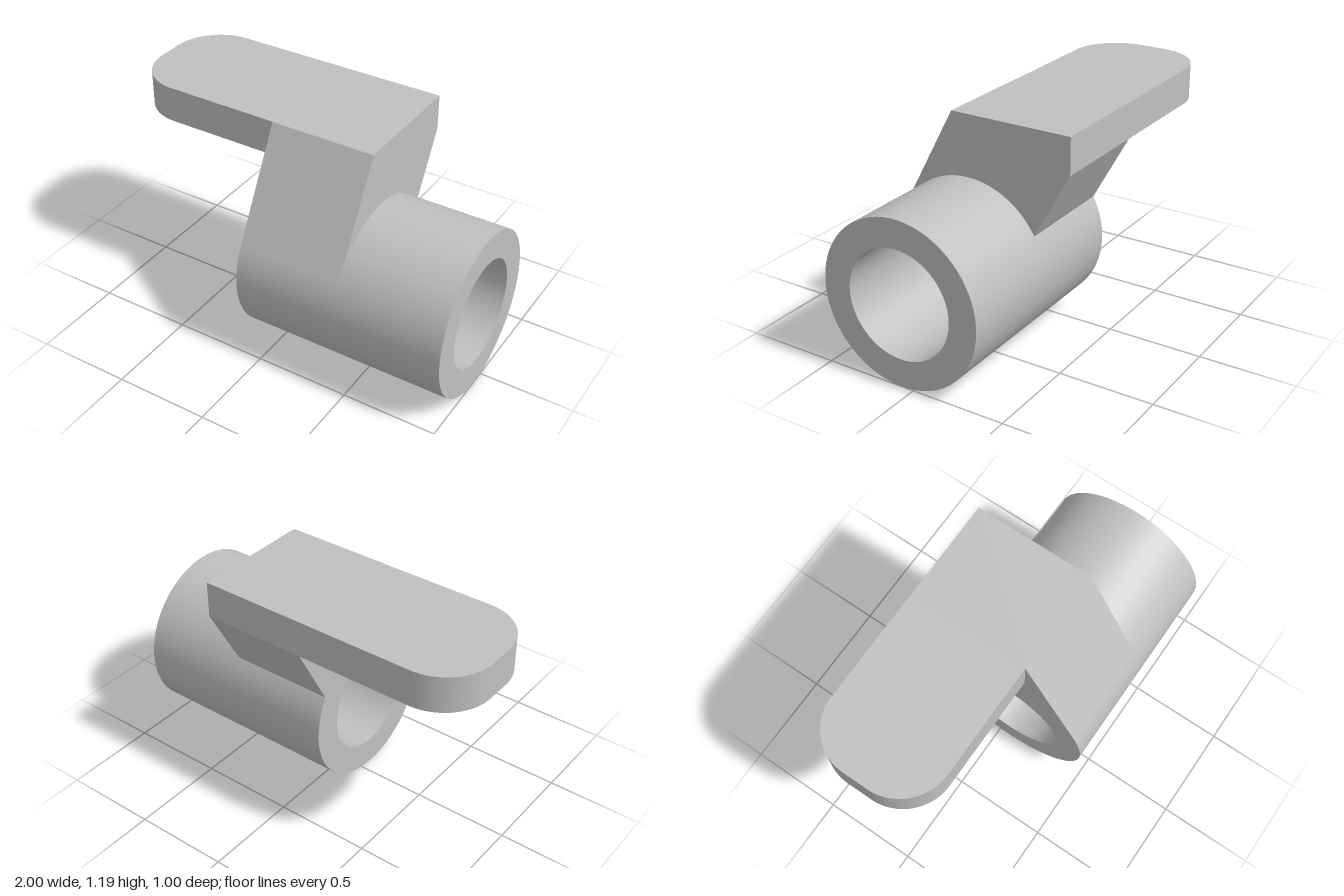
import * as THREE from 'three';
import { toCreasedNormals } from 'three/addons/utils/BufferGeometryUtils.js';

const AXIS_Y = 0.434, AXIS_Z = 0.067; // tube axis, running along x
const OUTER = 0.434, BORE = 0.285;

function extrude(shape, depth) {
  return new THREE.ExtrudeGeometry(shape, { depth, bevelEnabled: false, curveSegments: 64 });
}

// Extrudes a side profile drawn in (-z, y) from x0 to x1
function extrudeAlongX(shape, x0, x1) {
  return extrude(shape, x1 - x0).rotateY(Math.PI / 2).translate(x0, 0, 0);
}

export function createModel() {
  const group = new THREE.Group();
  const grey = new THREE.MeshStandardMaterial({ color: 0xc0c0c0 });
  grey.name = 'plain grey';

  const add = (name, geometry) => {
    const mesh = new THREE.Mesh(toCreasedNormals(geometry, 0.4), grey);
    mesh.name = name;
    group.add(mesh);
  };

  // Hollow tube
  const ring = new THREE.Shape().absarc(-AXIS_Z, AXIS_Y, OUTER, 0, Math.PI * 2, false);
  ring.holes.push(new THREE.Path().absarc(-AXIS_Z, AXIS_Y, BORE, 0, Math.PI * 2, true));
  add('tube', extrudeAlongX(ring, -0.13, 1));

  // Slanted arm, tangent to the tube at the front and sunk into its wall
  const arm = new THREE.Shape();
  arm.moveTo(-0.155, 1.19);
  arm.lineTo(-0.449, 0.64);
  arm.absarc(-AXIS_Z, AXIS_Y, 0.36, 2.648, 0.515, true);
  arm.lineTo(0.31, 0.65);
  arm.lineTo(0.5, 1.0);
  arm.lineTo(0.5, 1.19);
  arm.closePath();
  add('arm', extrudeAlongX(arm, -0.13, 0.43));

  // Flat lever plate with rounded outer corners, drawn in (x, -z)
  const r = 0.26, front = -0.153, back = 0.5;
  const plate = new THREE.Shape();
  plate.moveTo(-0.13, front);
  plate.lineTo(-0.13, back);
  plate.lineTo(-1 + r, back);
  plate.absarc(-1 + r, back - r, r, Math.PI / 2, Math.PI, false);
  plate.absarc(-1 + r, front + r, r, Math.PI, Math.PI * 1.5, false);
  plate.closePath();
  add('leverPlate', extrude(plate, 0.19).rotateX(-Math.PI / 2).translate(0, 1, 0));

  return group;
}
